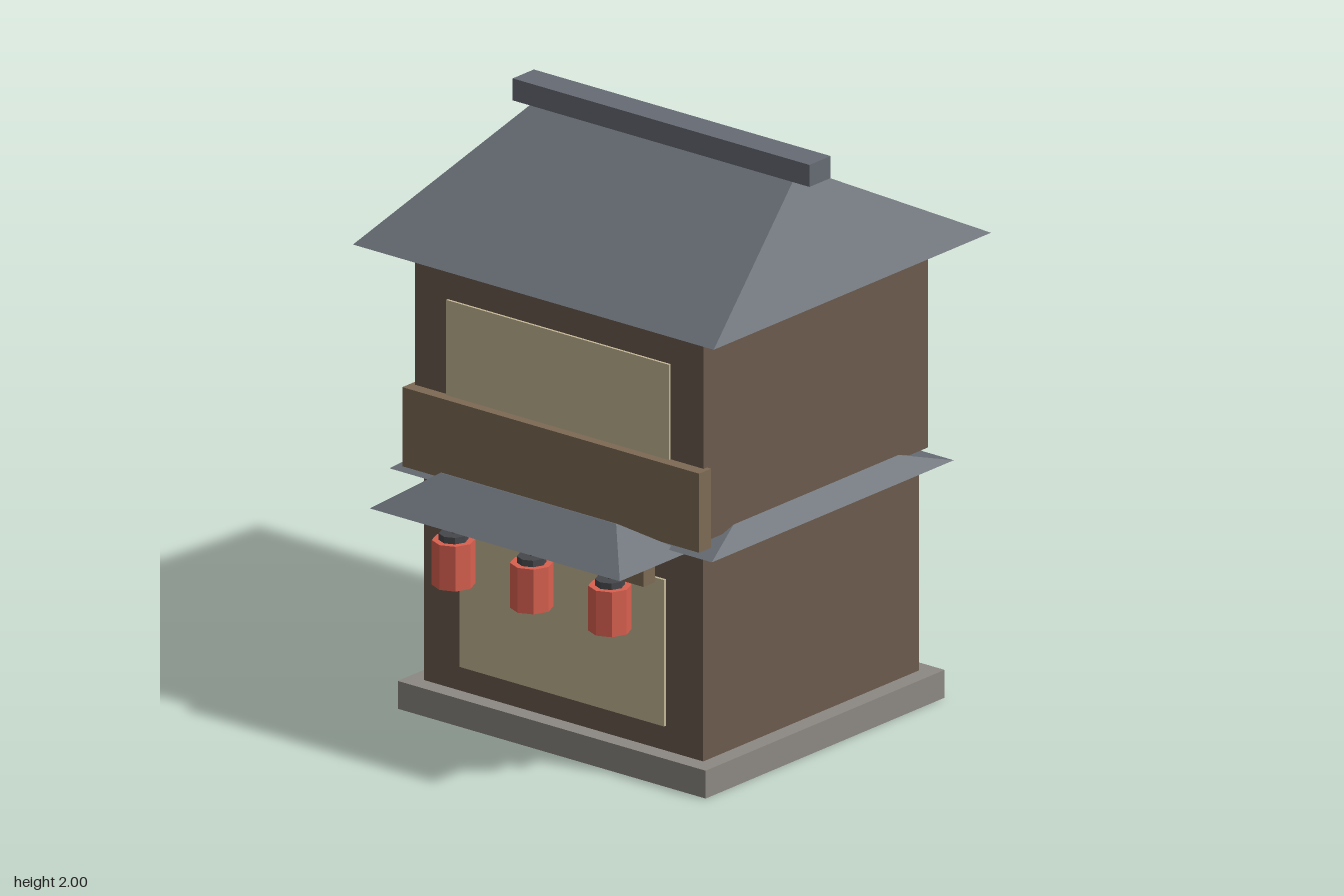
import * as THREE from 'three';

const mat = (color) => new THREE.MeshStandardMaterial({ color, flatShading: true });

export function createModel() {
  const model = new THREE.Group();
  model.name = 'townHouse';

  const stone = mat(0x8c8882);
  const wall = mat(0x6b5b4d);
  const wood = mat(0x7d6a55);
  const paper = mat(0xc4b795);
  const tile = mat(0x666b73);
  const iron = mat(0x45474b);
  const red = mat(0xd9604f);

  const add = (name, geometry, material, parent = model) => {
    const mesh = new THREE.Mesh(geometry, material);
    mesh.name = name;
    parent.add(mesh);
    return mesh;
  };

  // Box centred on x, given its half width and its y and z ranges
  const block = (name, material, hx, y0, y1, z0, z1) => {
    const mesh = add(name, new THREE.BoxGeometry(hx * 2, y1 - y0, z1 - z0), material);
    mesh.position.set(0, (y0 + y1) / 2, (z0 + z1) / 2);
    return mesh;
  };

  // Hipped roof: a block whose top corners are drawn in to a ridge or a smaller deck
  const hipRoof = (name, hx, y0, y1, z0, z1, topHx, topHz) => {
    const mesh = block(name, tile, hx, y0, y1, z0, z1);
    const p = mesh.geometry.attributes.position;
    for (let i = 0; i < p.count; i++) {
      if (p.getY(i) > 0) {
        p.setX(i, Math.sign(p.getX(i)) * topHx);
        p.setZ(i, Math.sign(p.getZ(i)) * topHz);
      }
    }
    mesh.geometry.computeVertexNormals();
  };

  // Ground floor
  block('foundation', stone, 0.64, 0, 0.095, -0.69, 0.505);
  block('lowerWalls', wall, 0.58, 0.095, 0.79, -0.635, 0.445);
  block('lowerScreen', paper, 0.425, 0.18, 0.68, 0.435, 0.455);
  hipRoof('skirtRoof', 0.67, 0.815, 0.88, -0.7, 0.51, 0.59, 0.385);

  // Upper floor with balcony board
  block('upperWalls', wall, 0.6, 0.855, 1.55, -0.655, 0.467);
  block('upperScreen', paper, 0.463, 0.97, 1.43, 0.455, 0.476);
  block('balconyBoard', wood, 0.617, 0.835, 1.105, 0.45, 0.51);

  // Main roof and ridge beam
  hipRoof('mainRoof', 0.75, 1.585, 1.953, -0.79, 0.597, 0.53, 0.002);
  block('ridgeBeam', tile, 0.617, 1.925, 2, -0.148, -0.042);

  // Entrance awning and its hanging beam
  hipRoof('awningRoof', 0.52, 0.795, 0.905, 0.45, 0.79, 0.365, 0.002);
  block('awningBeam', wood, 0.5, 0.73, 0.795, 0.589, 0.648);

  // Row of octagonal lanterns
  for (const x of [-0.325, 0, 0.325]) {
    const lantern = new THREE.Group();
    lantern.name = 'lantern';
    lantern.position.set(x, 0, 0.605);
    model.add(lantern);
    const drum = (name, r, y0, y1, material) => {
      add(name, new THREE.CylinderGeometry(r, r, y1 - y0, 8), material, lantern)
        .position.y = (y0 + y1) / 2;
    };
    drum('lanternBody', 0.07, 0.53, 0.683, red);
    drum('lanternCap', 0.048, 0.683, 0.705, iron);
    drum('lanternCord', 0.006, 0.705, 0.735, iron);
  }

  return model;
}
